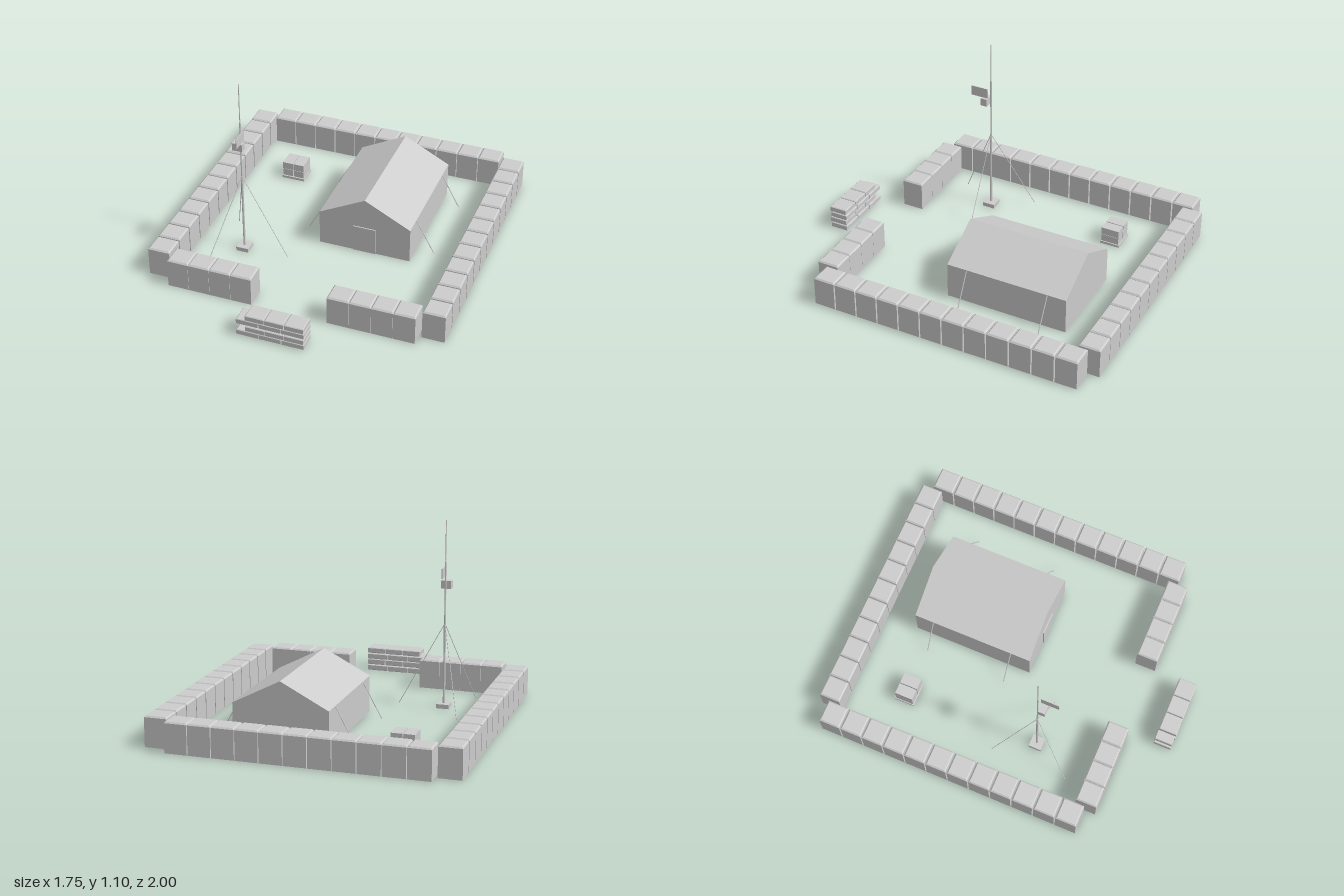
import * as THREE from 'three';

const grey = new THREE.MeshStandardMaterial({ color: 0xcccccc, flatShading: true });
grey.name = 'plain grey';

export function createModel() {
  const model = new THREE.Group();
  model.name = 'fieldCamp';

  const group = (name) => {
    const g = new THREE.Group();
    g.name = name;
    model.add(g);
    return g;
  };
  const add = (parent, name, geometry, x = 0, y = 0, z = 0) => {
    const m = new THREE.Mesh(geometry, grey);
    m.name = name;
    m.position.set(x, y, z);
    parent.add(m);
    return m;
  };
  const box = (parent, name, w, h, d, x, y, z) =>
    add(parent, name, new THREE.BoxGeometry(w, h, d), x, y + h / 2, z);

  // Thin rod between two points
  const rod = (parent, name, a, b, r, sides = 6) => {
    const p = new THREE.Vector3(...a), q = new THREE.Vector3(...b);
    const dir = q.clone().sub(p);
    const m = add(parent, name, new THREE.CylinderGeometry(r, r, dir.length(), sides));
    m.position.copy(p).add(q).multiplyScalar(0.5);
    m.quaternion.setFromUnitVectors(new THREE.Vector3(0, 1, 0), dir.normalize());
  };

  // Box with its top and bottom edges drawn in by a small bevel
  const bevelBox = (w, h, d, bevel, bottom) => {
    const g = new THREE.BoxGeometry(w, h, d, 1, 3, 1);
    const p = g.attributes.position;
    for (let i = 0; i < p.count; i++) {
      const y = p.getY(i);
      const atTop = y > h * 0.4, atBottom = y < -h * 0.4;
      if (atTop || (bottom && atBottom)) {
        p.setX(i, p.getX(i) - Math.sign(p.getX(i)) * bevel);
        p.setZ(i, p.getZ(i) - Math.sign(p.getZ(i)) * bevel);
      } else if (!atBottom) {
        p.setY(i, Math.sign(y) * (h / 2 - (y < 0 && !bottom ? 0 : bevel)));
      }
    }
    // Drop the empty band of a square-bottomed box by flattening it slightly above the base
    if (!bottom) {
      for (let i = 0; i < p.count; i++) {
        const y = p.getY(i);
        if (y < 0 && Math.abs(y + h / 2) < 1e-6 && g.attributes.uv.getY(i) > 0.2 && g.attributes.uv.getY(i) < 0.5)
          p.setY(i, -h / 2 + 0.02);
      }
    }
    g.computeVertexNormals();
    return g;
  };

  // Perimeter barrier rows
  const barrier = (name, count, x, z, dx, dz, w, d) => {
    const row = group(name);
    const geometry = bevelBox(w, 0.175, d, 0.008, false);
    for (let i = 0; i < count; i++)
      add(row, 'barrierBlock', geometry, x + i * dx, 0.0875, z + i * dz);
  };
  barrier('backBarrier', 11, -0.666, -0.9375, 0.1332, 0, 0.129, 0.125);
  for (const s of [-1, 1]) {
    const side = s < 0 ? 'right' : 'left';
    barrier(side + 'Barrier', 12, s * 0.809, -0.872, 0, 0.1345, 0.13, 0.126);
    barrier(side + 'FrontBarrier', 4, s * 0.664, 0.6725, -s * 0.1265, 0, 0.125, 0.126);
  }

  // Sandbag wall in staggered courses
  const bags = group('sandbagWall');
  for (let row = 0; row < 4; row++) {
    const start = row % 2 ? -0.145 : -0.2;
    const pitch = (0.193 - start) / 3;
    const geometry = bevelBox(pitch - 0.004, 0.034, 0.106, 0.004, true);
    for (let i = 0; i < 3; i++)
      add(bags, 'sandbag', geometry, start + pitch * (i + 0.5), 0.018 + row * 0.0365, row % 2 ? 0.947 : 0.943);
  }

  // Tent body with a gabled roof
  const tent = group('tent');
  const gable = new THREE.Shape();
  [[-0.275, 0], [0.275, 0], [0.275, 0.213], [0, 0.355], [-0.275, 0.213]]
    .forEach(([x, y], i) => (i ? gable.lineTo(x, y) : gable.moveTo(x, y)));
  add(tent, 'tentBody', new THREE.ExtrudeGeometry(gable, { depth: 0.73, bevelEnabled: false }), 0.195, 0, -0.68);
  box(tent, 'tentDoor', 0.135, 0.165, 0.008, 0.195, 0.002, 0.053);
  for (const s of [-1, 1])
    for (const z of [-0.565, -0.07])
      rod(tent, 'tentRope', [0.195 + s * 0.272, 0.21, z], [0.195 + s * 0.385, 0.002, z], 0.003);

  // Stepped antenna mast on a small footing
  const mast = group('antennaMast');
  const mx = -0.465, mz = 0.262;
  box(mast, 'mastFooting', 0.075, 0.025, 0.075, mx, 0, mz);
  rod(mast, 'lowerMast', [mx, 0.02, mz], [mx, 0.5, mz], 0.007, 8);
  rod(mast, 'middleMast', [mx, 0.5, mz], [mx, 0.86, mz], 0.005, 8);
  rod(mast, 'upperMast', [mx, 0.86, mz], [mx, 1.1, mz], 0.003, 8);
  box(mast, 'equipmentBox', 0.06, 0.046, 0.04, mx, 0.7, 0.295);
  box(mast, 'signalPanel', 0.005, 0.06, 0.105, -0.441, 0.755, 0.325);
  for (const [x, z] of [[-0.195, 0.262], [-0.6, 0.03], [-0.6, 0.494]])
    rod(mast, 'mastGuyRope', [mx, 0.5, mz], [x, 0.002, z], 0.002);

  // Stacked crates on a pallet
  const crates = group('crateStack');
  box(crates, 'pallet', 0.144, 0.015, 0.12, -0.468, 0, -0.558);
  for (const x of [-0.503, -0.433])
    for (const y of [0.017, 0.063])
      box(crates, 'crate', 0.065, 0.044, 0.108, x, y, -0.558);

  return model;
}
